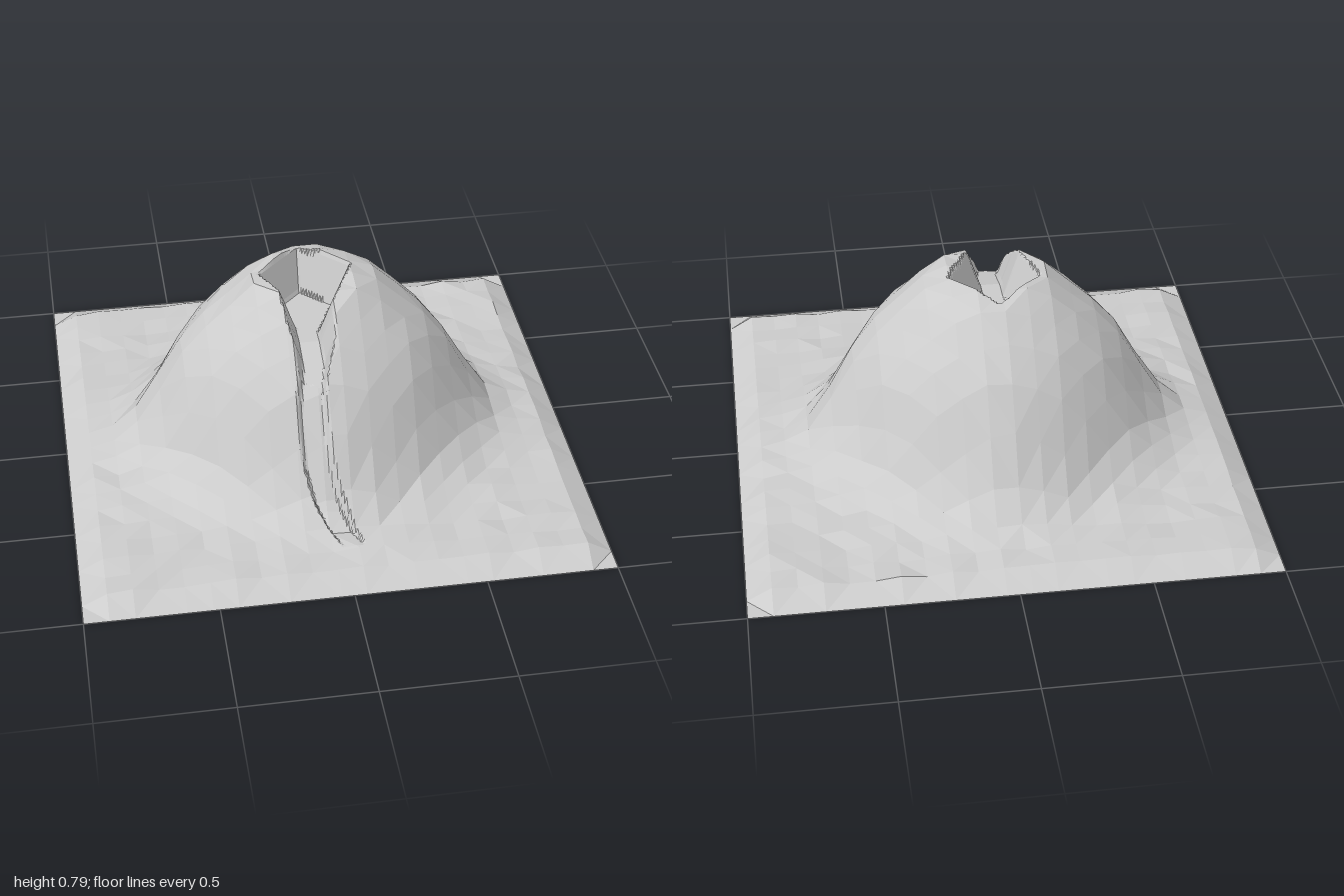
import * as THREE from 'three';

const CELLS = 21, STEP = 2 / CELLS, FINE = 10;
const FLOOR = 0.59;

// Slope profiles as [distance, height]: along the four ridges, and on the faces between them
const RIDGE = [[0, 0.78], [0.19, 0.785], [0.25, 0.765], [0.3, 0.705], [0.42, 0.61], [0.52, 0.49],
  [0.61, 0.335], [0.66, 0.235], [0.72, 0.14], [0.8, 0.085], [0.88, 0.06], [1, 0.05]];
const FACE = [[0, 0.78], [0.19, 0.785], [0.25, 0.765], [0.31, 0.695], [0.39, 0.62], [0.47, 0.52],
  [0.52, 0.43], [0.56, 0.34], [0.61, 0.225], [0.66, 0.15], [0.73, 0.095], [0.82, 0.065], [1, 0.05]];
// Middle line of the lava channel: [z, x]
const CHANNEL = [[0, -0.04], [0.22, -0.05], [0.3, -0.045], [0.45, -0.075], [0.55, -0.07],
  [0.62, -0.045], [0.7, -0.01], [0.8, 0.035]];

function lookup(table, t) {
  for (let i = 1; i < table.length; i++) {
    const [a, va] = table[i - 1], [b, vb] = table[i];
    if (t <= b) return THREE.MathUtils.lerp(va, vb, (t - a) / (b - a));
  }
  return table[table.length - 1][1];
}

function noise(i, k) {
  const s = Math.sin(i * 127.1 + k * 311.7) * 43758.5453;
  return (s - Math.floor(s)) * 2 - 1;
}

// Height at a coarse grid corner: round top, four-ridged foot, bevelled border
function cornerHeight(i, k) {
  if (i === 0 || k === 0 || i === CELLS || k === CELLS) return 0;
  const x = i * STEP - 0.985, z = (k * STEP - 1) * 1.09;
  const r = Math.hypot(x, z);
  const between = ((Math.abs(x) + Math.abs(z)) / r - 1) / (Math.SQRT2 - 1);
  return THREE.MathUtils.lerp(lookup(RIDGE, r), lookup(FACE, r), between) + noise(i, k) * 0.009;
}

// Cut the angular crater and the lava channel into the slope
function carve(x, z, h) {
  const dz = z + 0.03;
  const r = Math.abs(x + 0.035) + (dz < 0 ? -dz : dz * 0.45);
  let y = Math.min(h, FLOOR + Math.max(0, r - 0.11) * 2.7);
  if (z > 0 && z < 0.8) {
    const depth = 0.05 * Math.min(1, (0.8 - z) / 0.15);
    const bottom = Math.min(FLOOR - Math.max(0, z - 0.2) * 0.3, h - depth);
    const side = Math.abs(x - lookup(CHANNEL, z));
    y = Math.min(y, bottom + Math.max(0, side - 0.04) * 3);
  }
  return y;
}

export function createModel() {
  const group = new THREE.Group();
  const positions = [];

  for (let k = 0; k < CELLS; k++) {
    for (let i = 0; i < CELLS; i++) {
      const x0 = i * STEP - 1, z0 = k * STEP - 1;
      const h00 = cornerHeight(i, k), h10 = cornerHeight(i + 1, k);
      const h01 = cornerHeight(i, k + 1), h11 = cornerHeight(i + 1, k + 1);
      // Each cell folds along its more level diagonal
      const rising = Math.abs(h10 - h01) < Math.abs(h00 - h11);
      // Only the cells around the crater and channel are subdivided
      const detailed = i >= 8 && i <= 12 && k >= 8 && k <= 18;
      const n = detailed ? FINE : 1;

      const height = (u, v) => {
        if (rising) {
          return u + v < 1 ? h00 + (h10 - h00) * u + (h01 - h00) * v
            : h11 + (h01 - h11) * (1 - u) + (h10 - h11) * (1 - v);
        }
        return u > v ? h00 + (h10 - h00) * u + (h11 - h10) * v
          : h00 + (h01 - h00) * v + (h11 - h01) * u;
      };
      const point = (a, b) => {
        const x = x0 + a / n * STEP, z = z0 + b / n * STEP, h = height(a / n, b / n);
        return [x, detailed ? carve(x, z, h) : h, z];
      };

      for (let b = 0; b < n; b++) {
        for (let a = 0; a < n; a++) {
          const p = point(a, b), q = point(a, b + 1), r = point(a + 1, b + 1), s = point(a + 1, b);
          if (rising) positions.push(...p, ...q, ...s, ...q, ...r, ...s);
          else positions.push(...p, ...q, ...r, ...p, ...r, ...s);
        }
      }
    }
  }

  // Open sheet of terrain, hollow beneath
  const geometry = new THREE.BufferGeometry();
  geometry.setAttribute('position', new THREE.Float32BufferAttribute(positions, 3));
  geometry.computeVertexNormals();
  const volcano = new THREE.Mesh(geometry, new THREE.MeshStandardMaterial({
    color: 0xcccccc, flatShading: true, side: THREE.DoubleSide }));
  volcano.name = 'volcanoTerrain';
  group.add(volcano);
  return group;
}
